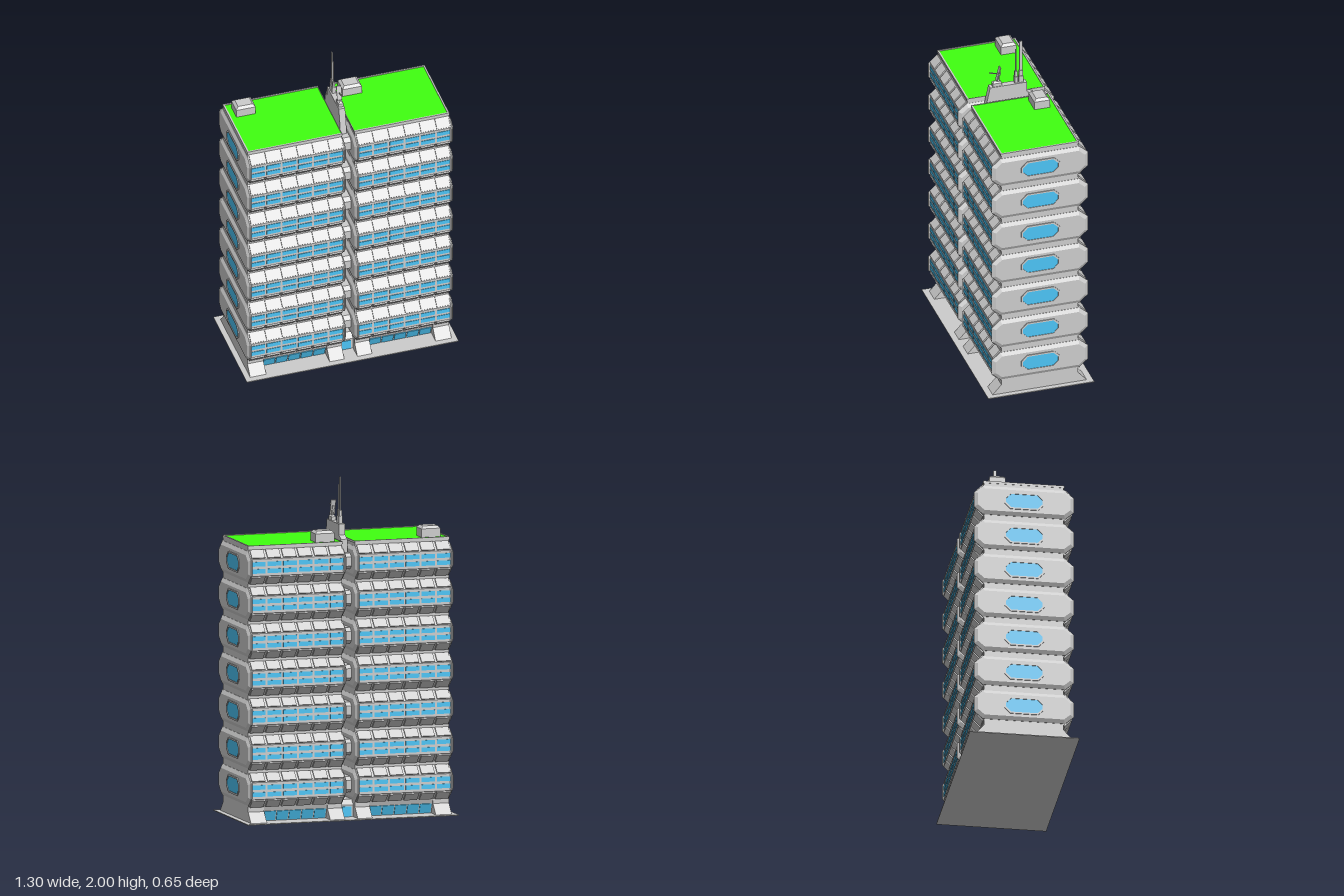
import * as THREE from 'three';
import { mergeGeometries } from 'three/addons/utils/BufferGeometryUtils.js';

const grey = new THREE.MeshStandardMaterial({ color: 0xcccccc, flatShading: true });
const glass = new THREE.MeshStandardMaterial({ color: 0x4bc3f4 });
const lawn = new THREE.MeshStandardMaterial({ color: 0x40ff10 });

const FLOORS = Array.from({ length: 7 }, (_, i) => 0.195 + 0.22 * i);
const X0 = 0.04, X1 = 0.618, XC = (X0 + X1) / 2, PITCH = 0.0965;

function add(parent, name, geo, mat = grey) {
  const mesh = new THREE.Mesh(geo, mat);
  mesh.name = name;
  parent.add(mesh);
  return mesh;
}

const box = (w, h, d, x, y, z) => new THREE.BoxGeometry(w, h, d).translate(x, y, z);
const shapeOf = (pts) => new THREE.Shape(pts.map(([a, b]) => new THREE.Vector2(a, b)));

// Extrudes a (z, y) outline along x, from x0 to x1
function prism(shape, x0, x1, bevel = null) {
  const geo = new THREE.ExtrudeGeometry(shape, { depth: x1 - x0, bevelEnabled: false, ...bevel });
  return geo.rotateY(-Math.PI / 2).translate(x1, 0, 0);
}

// Rectangle with cut corners, half sizes a and b, centred on height y
function octagon(a, b, cutA, cutB, y = 0) {
  return [[a, y - b + cutB], [a, y + b - cutB], [a - cutA, y + b], [-a + cutA, y + b],
    [-a, y + b - cutB], [-a, y - b + cutB], [-a + cutA, y - b], [a - cutA, y - b]];
}

// Block with a bevelled top, standing on y
function bevelledBlock(w, d, h, cut, x, y, z) {
  const s = shapeOf([[-w / 2, -d / 2], [w / 2, -d / 2], [w / 2, d / 2], [-w / 2, d / 2]]);
  const geo = new THREE.ExtrudeGeometry(s, {
    depth: h - cut, bevelThickness: cut, bevelSize: cut, bevelOffset: -cut, bevelSegments: 1 });
  return geo.rotateX(-Math.PI / 2).translate(x, y, z);
}

function buildWing() {
  const wing = new THREE.Group();

  // Stacked floors: bulging outline, mirrored front to back
  const side = [[0.2, 0.003]];
  for (const y of FLOORS) side.push([0.235, y - 0.1], [0.285, y - 0.05], [0.285, y + 0.05], [0.235, y + 0.1]);
  side.push([0.235, 1.632]);
  const back = side.map(([z, y]) => [-z, y]).reverse();
  add(wing, 'wingBody', prism(shapeOf([...side, ...back]), X0, X1));

  // Sloped panels, window strips and end plates on each floor
  const panels = [], panes = [], plates = [], frames = [], endPanes = [];
  for (const y of FLOORS) {
    for (let i = 0; i < 6; i++) {
      const x = XC + (i - 2.5) * PITCH;
      for (const sz of [1, -1]) {
        for (const sy of [1, -1]) {
          const panel = new THREE.BoxGeometry(0.082, 0.062, 0.016);
          panel.rotateX(-sz * sy * Math.PI / 4).translate(x, y + sy * 0.075, sz * 0.26);
          panels.push(panel);
          panes.push(box(0.084, 0.026, 0.008, x, y + sy * 0.021, sz * 0.284));
        }
      }
    }
    const bevel = { bevelEnabled: true, bevelThickness: 0.013, bevelSize: 0.022, bevelOffset: -0.022, bevelSegments: 1 };
    const outline = shapeOf(octagon(0.295, 0.092, 0.052, 0.045, y));
    plates.push(prism(outline, X1 - 0.004, X1 + 0.002, bevel), prism(outline, X0 - 0.001, X0 + 0.005, bevel));
    const ring = shapeOf(octagon(0.118, 0.053, 0.035, 0.035, y));
    ring.holes.push(shapeOf(octagon(0.108, 0.043, 0.03, 0.03, y)));
    frames.push(prism(ring, X1 + 0.01, X1 + 0.02));
    endPanes.push(prism(shapeOf(octagon(0.109, 0.044, 0.03, 0.03, y)), X1 + 0.01, X1 + 0.0165));
  }
  add(wing, 'slopedPanels', mergeGeometries(panels));
  add(wing, 'windowStrips', mergeGeometries(panes), glass);
  add(wing, 'endPlates', mergeGeometries(plates));
  add(wing, 'endWindowFrames', mergeGeometries(frames));
  add(wing, 'endWindows', mergeGeometries(endPanes), glass);

  // Splayed feet at both ends of the ground floor
  const foot = shapeOf([[0.29, 0.003], [0.235, 0.065], [0.235, 0.1], [-0.235, 0.1], [-0.235, 0.065], [-0.29, 0.003]]);
  add(wing, 'feet', mergeGeometries([prism(foot, 0.52, X1), prism(foot, X0, 0.13)]));

  // Leaning ground floor glazing split by mullions
  const lobby = [];
  for (let i = 0; i < 5; i++) {
    for (const s of [1, -1]) {
      const pane = new THREE.BoxGeometry(0.07, 0.06, 0.008);
      lobby.push(pane.rotateX(s * 0.36).translate(0.325 + (i - 2) * 0.077, 0.037, s * 0.2135));
    }
  }
  add(wing, 'lobbyGlass', mergeGeometries(lobby), glass);

  // Roof parapet around the lawn
  const rim = shapeOf([[-0.24, X0 - 0.003], [0.24, X0 - 0.003], [0.24, X1 + 0.002], [-0.24, X1 + 0.002]]);
  rim.holes.push(shapeOf([[-0.23, X0], [0.23, X0], [0.23, X1 - 0.008], [-0.23, X1 - 0.008]]));
  const parapet = new THREE.ExtrudeGeometry(rim, { depth: 0.014, bevelEnabled: false });
  // local x -> z, local y -> x, local z -> y
  parapet.applyMatrix4(new THREE.Matrix4().set(0, 1, 0, 0, 0, 0, 1, 1.626, 1, 0, 0, 0, 0, 0, 0, 1));
  add(wing, 'parapet', parapet);
  add(wing, 'roofLawn', box(X1 - X0 - 0.008, 0.006, 0.46, XC - 0.004, 1.633, 0), lawn);
  return wing;
}

export function createModel() {
  const model = new THREE.Group();
  model.name = 'towerBlock';
  add(model, 'groundPlate', box(1.3, 0.005, 0.65, 0, 0.0025, 0));

  // Two wings; the right one is the left one turned half round
  const left = buildWing();
  left.name = 'leftWing';
  const right = left.clone();
  right.name = 'rightWing';
  right.rotation.y = Math.PI;
  model.add(left, right);

  // Roof huts
  for (const x of [0.132, -0.52]) add(model, 'roofHut', bevelledBlock(0.118, 0.096, 0.066, 0.015, x, 1.635, -0.15));

  // Bridges joining the wings, and the entrance below them
  const bridges = FLOORS.map((y) => prism(shapeOf(octagon(0.21, 0.047, 0.025, 0.02, y)), -X0, X0));
  add(model, 'bridges', mergeGeometries(bridges));
  add(model, 'entranceBlock', prism(shapeOf([[0.2, 0.003], [0.2, 0.075], [0.17, 0.105], [-0.17, 0.105], [-0.2, 0.075], [-0.2, 0.003]]), -X0, X0));
  for (const s of [1, -1]) add(model, 'entranceDoor', box(0.056, 0.06, 0.008, 0, 0.036, s * 0.2), glass);

  // Mast plinth rising from the top bridge
  const plinth = [[0.15, 1.55], [0.132, 1.645], [0.115, 1.725], [-0.11, 1.725], [-0.11, 1.66], [-0.155, 1.64], [-0.155, 1.55]];
  add(model, 'mastPlinth', prism(shapeOf(plinth), -0.019, 0.019));

  // Pair of masts
  const masts = [[-0.078, 2, 0.009], [-0.048, 1.95, 0.004]];
  for (const [z, top, r] of masts) {
    const w = r + 0.007;
    add(model, 'mastBase', mergeGeometries([
      box(0.022, 0.045, w * 1.7, 0, 1.745, z), box(0.014, 0.035, w * 1.4, 0, 1.785, z)]));
    add(model, 'mast', box(0.006, top - 1.79, r * 2, 0, (top + 1.79) / 2, z));
  }

  // Dish aerial on its stand
  const dish = new THREE.Group();
  dish.name = 'dishAerial';
  add(dish, 'dishStand', bevelledBlock(0.03, 0.055, 0.035, 0.012, 0, 1.723, 0.07));
  add(dish, 'dishNeck', new THREE.CylinderGeometry(0.006, 0.009, 0.05, 6).translate(0, 1.775, 0.06));
  const head = new THREE.Group();
  head.name = 'dishHead';
  head.position.set(0, 1.802, 0.06);
  head.rotation.x = -0.25;
  add(head, 'dishPanel', box(0.03, 0.09, 0.006, 0, 0, 0));
  add(head, 'dishFeed', box(0.005, 0.005, 0.055, 0, 0, 0.03));
  add(head, 'dishCounterweight', box(0.012, 0.02, 0.012, 0, 0, -0.007));
  dish.add(head);
  model.add(dish);
  return model;
}
